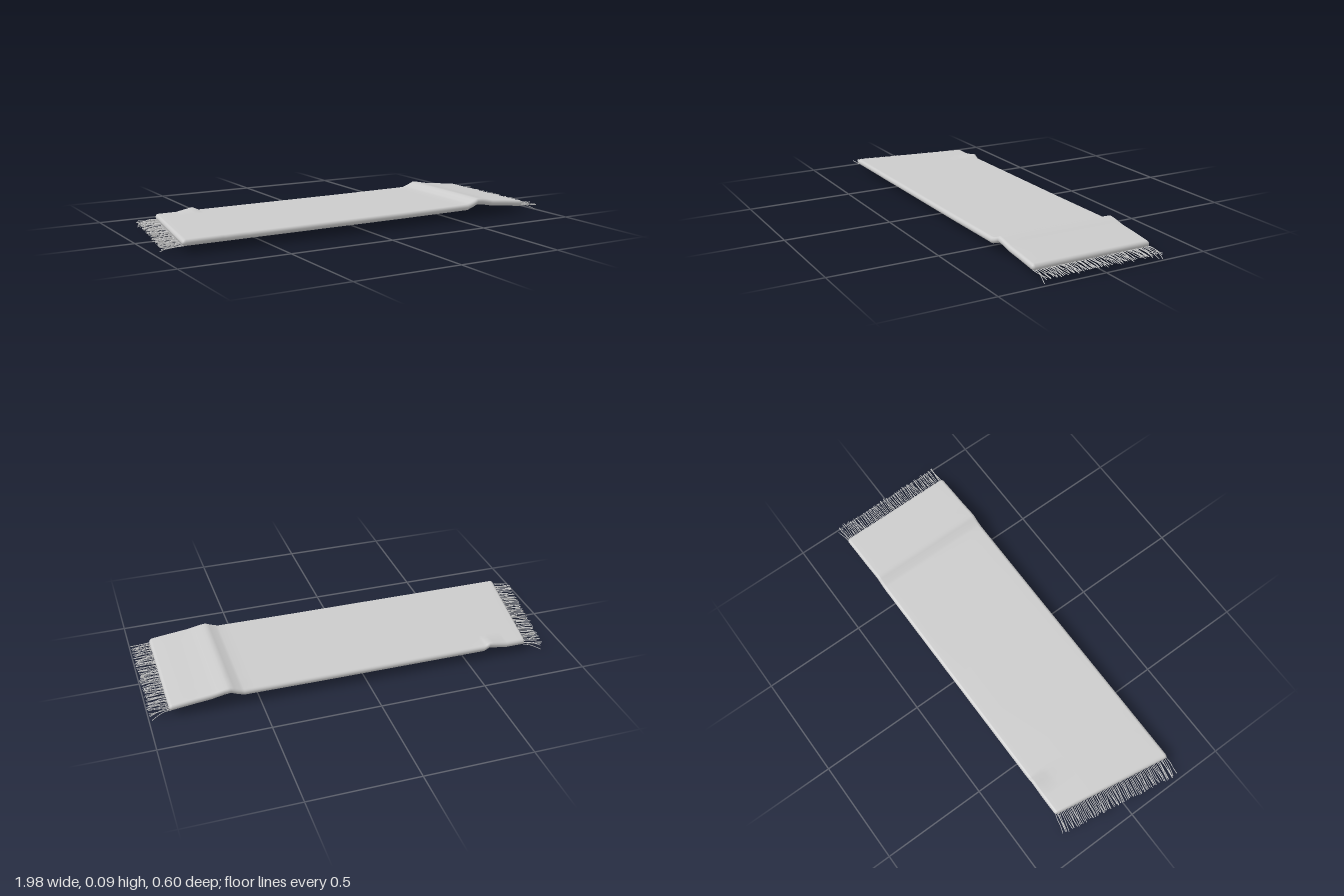
import * as THREE from 'three';
import { mergeGeometries, mergeVertices } from 'three/addons/utils/BufferGeometryUtils.js';

const material = new THREE.MeshStandardMaterial({ color: 0xcccccc, side: THREE.DoubleSide });
const R = 0.0145;                       // edge rounding, half of the thickness
const LEFT = -0.848, RIGHT = 0.907, HALF_Z = 0.29;

// height of the cloth's middle layer along its length
const PROFILE = [[-0.9, 0.05], [-0.5, 0.051], [0.2, 0.053], [0.57, 0.056], [0.6, 0.066], [0.63, 0.079],
  [0.66, 0.076], [0.72, 0.064], [0.8, 0.056], [0.91, 0.043]];

function heightAt(x) {
  const i = Math.max(1, PROFILE.findIndex(p => p[0] >= x));
  const [x0, y0] = PROFILE[i - 1], [x1, y1] = PROFILE[i];
  return THREE.MathUtils.mapLinear(x, x0, x1, y0, y1);
}

// small pucker on the back edge
function pucker(x, z) {
  const along = x < -0.62 ? (x + 0.7) / 0.08 : (-0.59 - x) / 0.03;
  const across = THREE.MathUtils.clamp((-0.19 - z) / 0.1, 0, 1);
  return 0.016 * Math.max(0, along) * across;
}

// slanted left end
function skew(x, z) {
  return x - 0.163 * z * THREE.MathUtils.clamp((-0.71 - x) / 0.135, 0, 1);
}

// grid positions between two rounded edges
function stations(min, max, inner) {
  const bend = R * Math.tan(Math.PI / 8);
  return [min, min + R - bend, min + R, ...inner, max - R, max - R + bend, max];
}

function rugGeometry() {
  const xs = stations(LEFT, RIGHT, [-0.78, -0.74, -0.71, -0.7, -0.67, -0.64, -0.62, -0.605, -0.59, -0.5, -0.25,
    0, 0.2, 0.4, 0.52, 0.57, 0.585, 0.6, 0.615, 0.63, 0.645, 0.66, 0.69, 0.72, 0.8, 0.86]);
  const zs = stations(-HALF_Z, HALF_Z, [-0.25, -0.22, -0.19, -0.1, 0, 0.1, 0.2]);
  const bend = R * Math.tan(Math.PI / 8);
  const ys = [-R, -bend, 0, bend, R];
  const size = [xs.length - 1, ys.length - 1, zs.length - 1];
  let geo = new THREE.BoxGeometry(...size, ...size);
  const pos = geo.attributes.position;
  const p = new THREE.Vector3(), core = new THREE.Vector3();
  for (let i = 0; i < pos.count; i++) {
    p.set(
      xs[Math.round(pos.getX(i) + size[0] / 2)],
      ys[Math.round(pos.getY(i) + size[1] / 2)],
      zs[Math.round(pos.getZ(i) + size[2] / 2)]);
    // round the border
    core.set(
      THREE.MathUtils.clamp(p.x, LEFT + R, RIGHT - R), 0,
      THREE.MathUtils.clamp(p.z, -HALF_Z + R, HALF_Z - R));
    p.sub(core).setLength(R);
    if (Math.abs(core.x - (LEFT + RIGHT) / 2) < (RIGHT - LEFT) / 2 - R - 1e-6 &&
        Math.abs(core.z) < HALF_Z - R - 1e-6) p.set(0, Math.sign(p.y) * R, 0);
    p.add(core);
    // fold and slant the cloth
    const y = p.y + heightAt(p.x) + pucker(p.x, p.z);
    pos.setXYZ(i, skew(p.x, p.z), y, p.z);
  }
  geo.deleteAttribute('normal');
  geo.deleteAttribute('uv');
  geo = mergeVertices(geo, 1e-5);
  geo.computeVertexNormals();
  return geo;
}

function seeded(seed) {
  return () => (seed = (seed * 16807) % 2147483647) / 2147483647;
}

// one end's row of loose threads; side is +1 at the left end of the model (+x), -1 at the other
function fringeGeometry(side, seed) {
  const rand = seeded(seed), jitter = a => (rand() - 0.5) * 2 * a;
  const count = 84, threads = [];
  const out = side > 0 ? new THREE.Vector2(1, 0) : new THREE.Vector2(-0.987, -0.16);
  for (let i = 0; i < count; i++) {
    const z = THREE.MathUtils.lerp(-0.285, 0.285, i / (count - 1));
    const x = side > 0 ? RIGHT - 0.008 : skew(LEFT, z) + 0.008;
    const y = side > 0 ? 0.035 : 0.038;
    const corner = Math.abs(z) > 0.255;
    const length = 0.088 + rand() * 0.012;
    // threads lean in small bunches, corner threads splay and droop
    const lean = 0.004 * Math.sin(Math.floor(i / 6) * 2.3) + jitter(0.004) +
      (corner ? Math.sign(z) * rand() * 0.014 : 0);
    const droop = corner && i % 3 === 0 ? 0.02 + rand() * 0.011 : rand() * 0.008;
    const points = [0, 0.35, 0.7, 1].map(t => new THREE.Vector3(
      x + out.x * length * t,
      y - droop * t * t + (t > 0 ? jitter(0.004) : 0),
      z + out.y * length * t + lean * t + (t > 0 ? jitter(0.0025) : 0)));
    threads.push(new THREE.TubeGeometry(new THREE.CatmullRomCurve3(points), 6, 0.0016, 5));
  }
  return mergeGeometries(threads);
}

export function createModel() {
  const model = new THREE.Group();
  model.name = 'rug';
  const add = (name, geometry) => {
    const mesh = new THREE.Mesh(geometry, material);
    mesh.name = name;
    model.add(mesh);
  };
  add('rugBody', rugGeometry());
  add('leftFringe', fringeGeometry(1, 4711));
  add('rightFringe', fringeGeometry(-1, 1234));
  return model;
}
